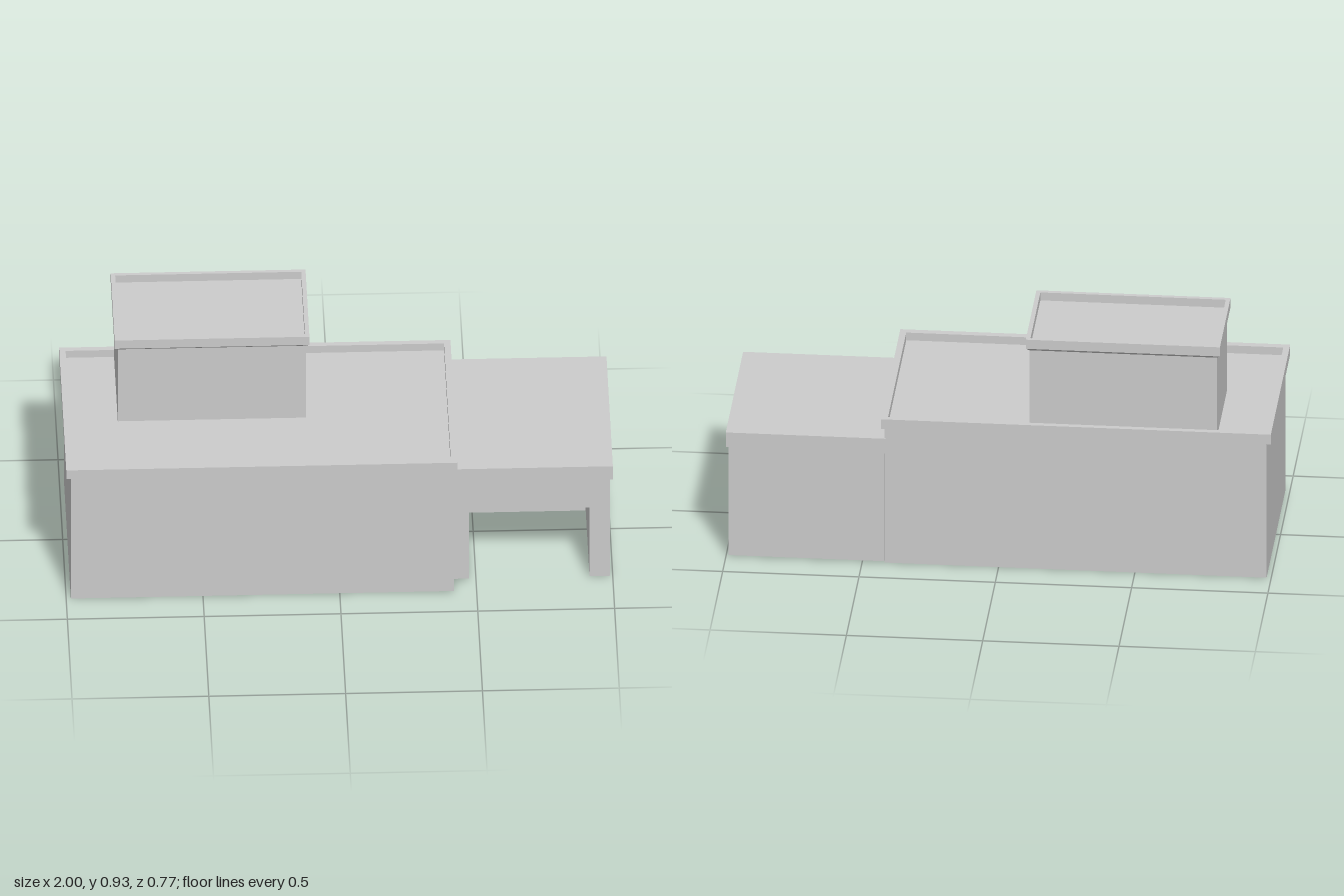
import * as THREE from 'three';

const material = new THREE.MeshStandardMaterial({ color: 0xcccccc, flatShading: true, side: THREE.DoubleSide });

function add(parent, name, geometry) {
  const mesh = new THREE.Mesh(geometry, material);
  mesh.name = name;
  parent.add(mesh);
}

// Box given by its limits; faces listed in drop are left open (0 +x, 1 -x, 2 +y, 3 -y, 4 +z, 5 -z)
function box([x0, x1], [y0, y1], [z0, z1], drop = []) {
  const g = new THREE.BoxGeometry(x1 - x0, y1 - y0, z1 - z0);
  g.translate((x0 + x1) / 2, (y0 + y1) / 2, (z0 + z1) / 2);
  g.setIndex(Array.from(g.index.array).filter((_, i) => !drop.includes(Math.floor(i / 6))));
  g.clearGroups();
  return g;
}

function rectangle(target, [x0, x1], [z0, z1]) {
  target.moveTo(x0, -z0).lineTo(x1, -z0).lineTo(x1, -z1).lineTo(x0, -z1).closePath();
  return target;
}

// Rectangular parapet ring
function parapet(outerX, outerZ, innerX, innerZ, [y0, y1]) {
  const shape = rectangle(new THREE.Shape(), outerX, outerZ);
  shape.holes.push(rectangle(new THREE.Path(), innerX, innerZ));
  const g = new THREE.ExtrudeGeometry(shape, { depth: y1 - y0, bevelEnabled: false });
  return g.rotateX(-Math.PI / 2).translate(0, y0, 0);
}

// Sloping collar that widens from the wall to the parapet
function collar(lowX, lowZ, highX, highZ, [y0, y1]) {
  const g = box([0, 1], [0, 1], [0, 1], [2, 3]);
  const p = g.attributes.position;
  for (let i = 0; i < p.count; i++) {
    const top = p.getY(i) > 0.5;
    const xs = top ? highX : lowX, zs = top ? highZ : lowZ;
    p.setXYZ(i, xs[Math.round(p.getX(i))], top ? y1 : y0, zs[Math.round(p.getZ(i))]);
  }
  g.computeVertexNormals();
  return g;
}

// Open-bottomed block with a sunken roof behind a parapet
function block(name, d) {
  const group = new THREE.Group();
  group.name = name;
  add(group, name + 'Walls', box(d.x, [d.base, d.roof], d.z, [3]));
  add(group, name + 'Collar', collar(d.x, d.z, d.rimX, d.rimZ, [d.collar, d.rimY[0]]));
  add(group, name + 'Parapet', parapet(d.rimX, d.rimZ, d.innerX, d.innerZ, d.rimY));
  return group;
}

function garage() {
  const group = new THREE.Group();
  group.name = 'garage';
  const x = [0.42, 0.99], y = [0.005, 0.445], z = [-0.369, 0.302];
  const doorX = [0.475, 0.915], doorTop = 0.313;
  add(group, 'garageWalls', box(x, y, z, [2, 3, 4]));

  // Front wall with the doorway cut out
  const front = new THREE.Shape();
  front.moveTo(x[0], y[0]).lineTo(doorX[0], y[0]).lineTo(doorX[0], doorTop).lineTo(doorX[1], doorTop);
  front.lineTo(doorX[1], y[0]).lineTo(x[1], y[0]).lineTo(x[1], y[1]).lineTo(x[0], y[1]).closePath();
  add(group, 'garageFront', new THREE.ShapeGeometry(front).translate(0, 0, z[1]));

  // Recessed bay, open to the front and below
  add(group, 'garageBay', box(doorX, [y[0], doorTop], [-0.11, z[1]], [3, 4]));
  add(group, 'garageRoof', box([0.415, 1], [0.445, 0.504], [-0.377, 0.312]));
  return group;
}

export function createModel() {
  const model = new THREE.Group();
  model.name = 'building';
  model.add(
    block('mainBlock', {
      x: [-0.983, 0.418], z: [-0.37, 0.371], base: 0, roof: 0.555, collar: 0.542,
      rimX: [-1, 0.43], rimZ: [-0.385, 0.385], rimY: [0.547, 0.586],
      innerX: [-0.977, 0.406], innerZ: [-0.364, 0.358],
    }),
    block('upperBlock', {
      x: [-0.8, -0.112], z: [-0.362, 0.04], base: 0.55, roof: 0.893, collar: 0.878,
      rimX: [-0.812, -0.1], rimZ: [-0.372, 0.05], rimY: [0.888, 0.925],
      innerX: [-0.796, -0.116], innerZ: [-0.358, 0.033],
    }),
    garage(),
  );
  return model;
}
